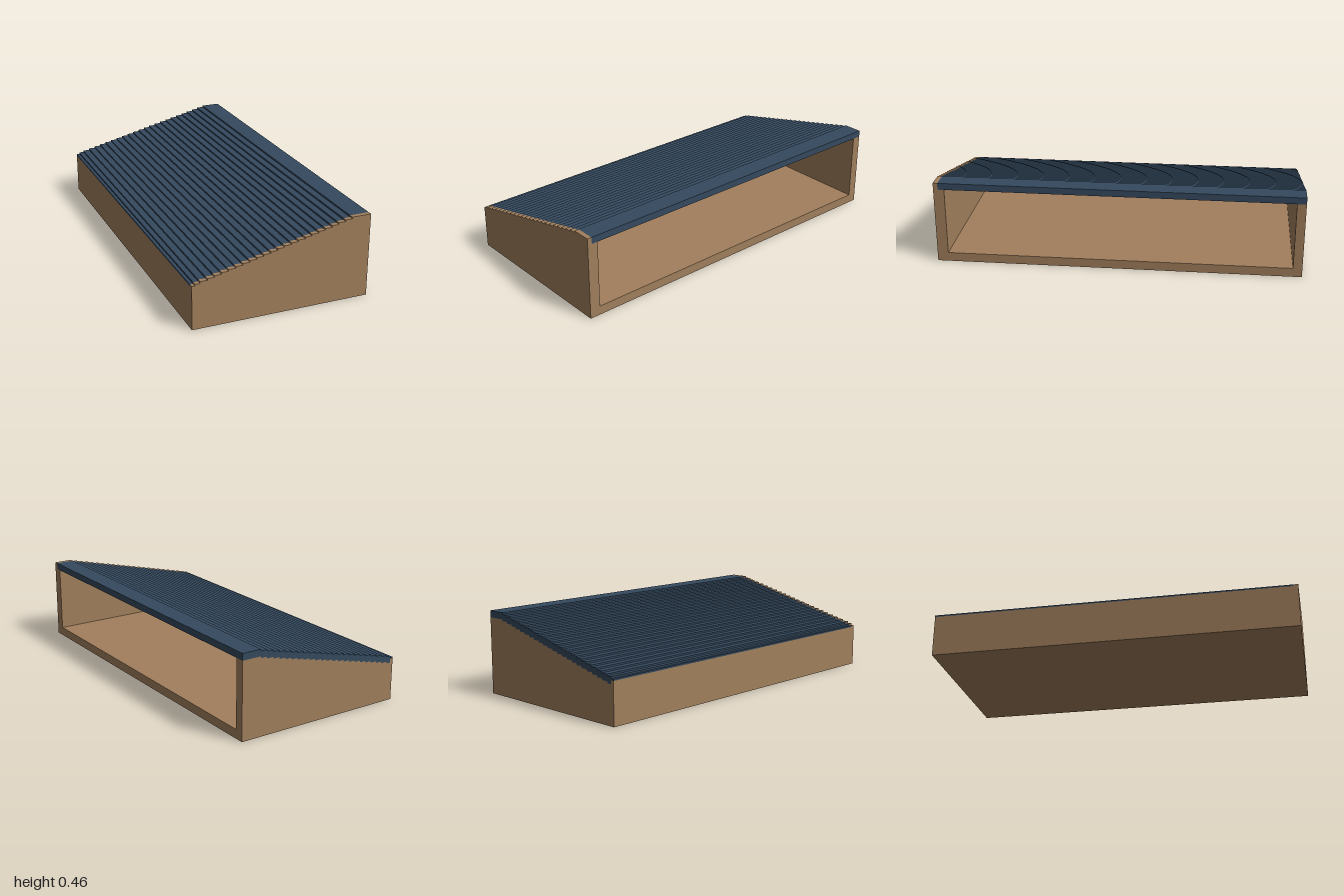
import * as THREE from 'three';

const wood = new THREE.MeshStandardMaterial({ color: 0xa17f5c });
wood.name = 'wood';
const slate = new THREE.MeshStandardMaterial({ color: 0x34495e });
slate.name = 'slateBlue';

const LEFT = -0.492, RIGHT = 0.492, STEPS = 25, THICK = 0.037;
const WALL = 0.05, LIP = 0.975;

// stepped slope from the low edge to the high edge, lowered by drop
function slope(drop) {
  const pts = [];
  for (let k = 0; k < STEPS; k++) {
    const x0 = k === 0 ? LEFT : k === 1 ? -0.475 : -0.448 + (k - 2) * 0.0378;
    const x1 = k === STEPS - 1 ? RIGHT : k === 0 ? -0.475 : -0.448 + (k - 1) * 0.0378;
    const y = 0.241 + k * 0.0092 - (k === 0 ? Math.min(drop, 0.009) : drop);
    pts.push([x0, y], [x1, y]);
  }
  return pts;
}

// extrude an x-y outline between two z positions
function slab(name, pts, z0, z1, material) {
  const shape = new THREE.Shape(pts.map(([x, y]) => new THREE.Vector2(x, y)));
  const geo = new THREE.ExtrudeGeometry(shape, { depth: z1 - z0, bevelEnabled: false });
  geo.translate(0, 0, z0);
  const mesh = new THREE.Mesh(geo, material);
  mesh.name = name;
  return mesh;
}

function box(name, x0, x1, y0, y1, z0, z1, material) {
  const mesh = new THREE.Mesh(new THREE.BoxGeometry(x1 - x0, y1 - y0, z1 - z0), material);
  mesh.position.set((x0 + x1) / 2, (y0 + y1) / 2, (z0 + z1) / 2);
  mesh.name = name;
  return mesh;
}

export function createModel() {
  const group = new THREE.Group();
  group.name = 'slopedShelter';
  const top = slope(0), under = slope(THICK);
  const wallUnder = [[LEFT, 0], [RIGHT, 0], ...under.slice().reverse()];
  const wallTop = [[LEFT, 0], [RIGHT, 0], ...top.slice().reverse()];

  // stepped roof
  group.add(slab('roof', [...under, ...top.slice().reverse()], -1, LIP, slate));

  // end walls, the front one with a lip covering the roof edge
  group.add(slab('backEndWall', wallUnder, -1, -0.95, wood));
  group.add(slab('frontEndWall', wallUnder, 0.94, LIP, wood));
  group.add(slab('frontLip', wallTop, LIP, 1, wood));

  // floor and low wall; the side at +x stays open
  group.add(box('floor', LEFT, RIGHT, 0, WALL, -0.95, 0.94, wood));
  group.add(box('lowWall', LEFT, LEFT + WALL, WALL, 0.213, -0.95, 0.94, wood));
  group.add(box('lowWallRim', LEFT, -0.475, 0.213, 0.232, -0.95, 0.94, wood));
  return group;
}
